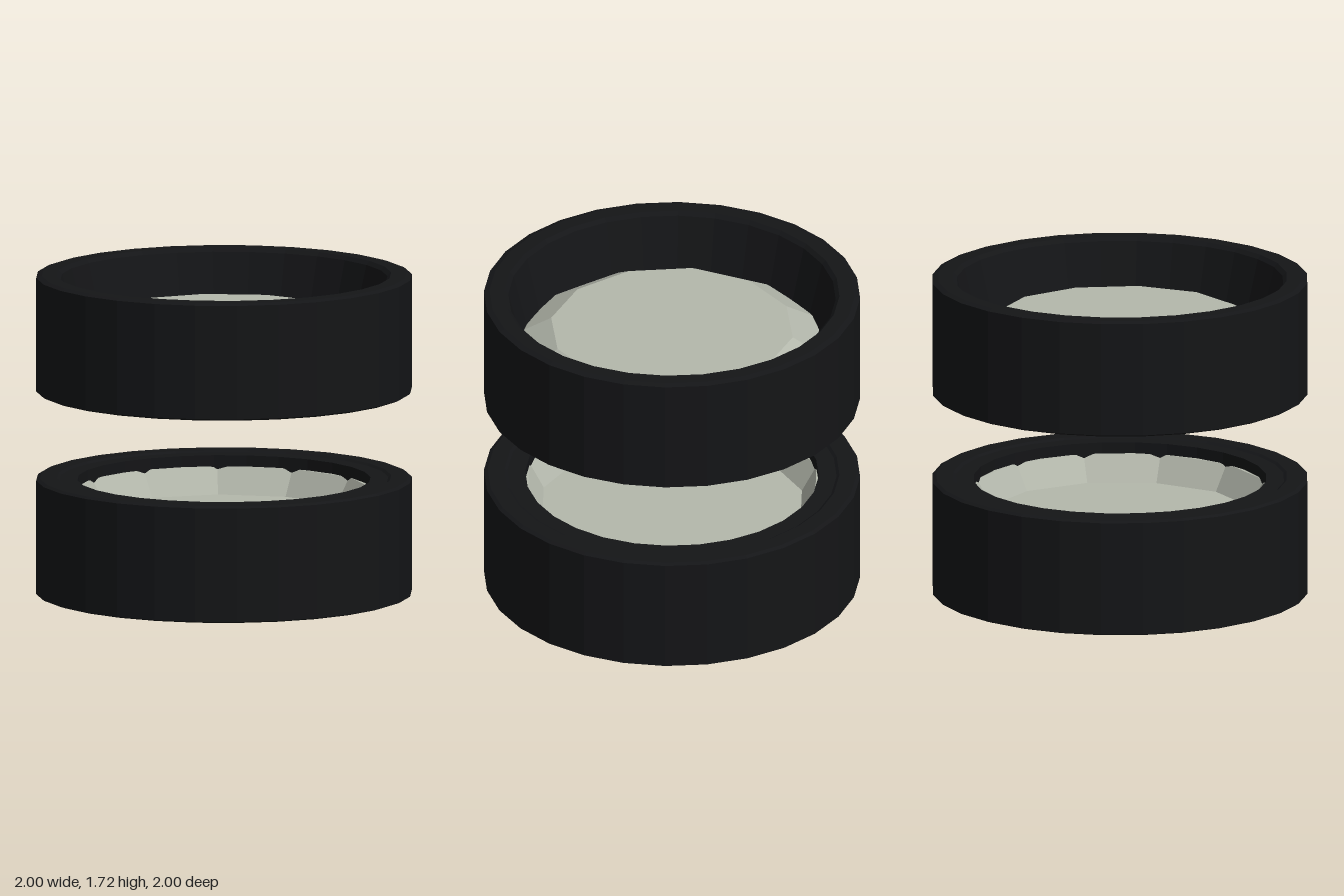
import * as THREE from 'three';

const ringMaterial = new THREE.MeshStandardMaterial({ color: 0x141517, flatShading: true });
const lensMaterial = new THREE.MeshStandardMaterial({ color: 0xb4b8ac, flatShading: true });

// Turns a [radius, height] profile about the y axis.
function turned(name, profile, sides, material) {
  const points = profile.map(([r, y]) => new THREE.Vector2(r, y));
  const mesh = new THREE.Mesh(new THREE.LatheGeometry(points, sides), material);
  mesh.name = name;
  return mesh;
}

// Dark ring holding a thick faceted lens; the wide opening is at the bottom.
function createCap(name) {
  const cap = new THREE.Group();
  cap.name = name;

  const ring = turned('ring', [
    [0.97, 0], [1, 0.01], [1, 0.62], [0.98, 0.63], // outer wall
    [0.89, 0.63], [0.875, 0.62], [0.78, 0.62], // inner lip
    [0.79, 0.34], [0.87, 0.02], [0.89, 0], [0.97, 0], // tapered bore
  ], 28, ringMaterial);

  const lens = turned('lens', [
    [0, 0.21], [0.65, 0.21], [0.82, 0.31], // outer face with sloping edge
    [0.82, 0.56], [0.79, 0.56], [0.71, 0.42], [0, 0.42], // dished inner face
  ], 12, lensMaterial);
  lens.rotation.y = 0.2;

  cap.add(ring, lens);
  return cap;
}

export function createModel() {
  const model = new THREE.Group();
  model.name = 'lensCapPair';

  const lower = createCap('lowerCap');
  // The upper cap is the same part turned over.
  const upper = createCap('upperCap');
  upper.rotation.x = Math.PI;
  upper.position.y = 1.72;

  model.add(lower, upper);
  return model;
}
